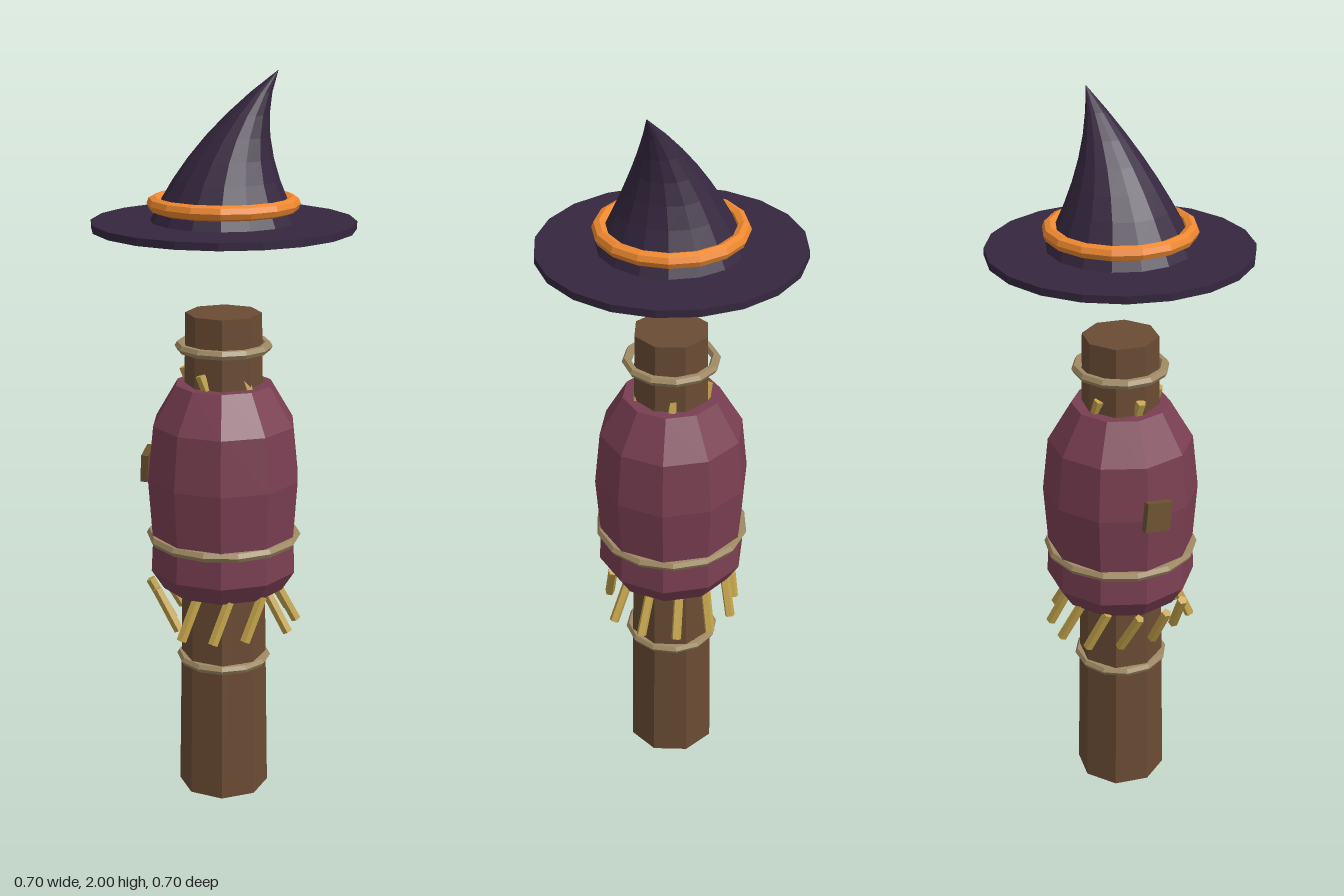
import * as THREE from 'three';

const mat = (color) => new THREE.MeshStandardMaterial({ color, flatShading: true });
const wood = mat(0x6b4c34), cloth = mat(0x7a3f52), rope = mat(0xa08a64);
const straw = mat(0xc2a24a), felt = mat(0x35273f), orange = mat(0xee8830), patchCloth = mat(0x6b5230);

function add(parent, name, geometry, material, x = 0, y = 0, z = 0) {
  const mesh = new THREE.Mesh(geometry, material);
  mesh.name = name;
  mesh.position.set(x, y, z);
  parent.add(mesh);
  return mesh;
}

// Horizontal ring around the y axis
function ring(parent, name, y, radius, tube, segments, material) {
  const geo = new THREE.TorusGeometry(radius, tube, 6, segments).rotateX(Math.PI / 2);
  return add(parent, name, geo, material, 0, y, 0);
}

// Straw stalk centred at a point, its lower end leaning by (dx, dz)
function stalk(parent, name, x, y, z, length, dx, dz) {
  const mesh = add(parent, name, new THREE.CylinderGeometry(0.014, 0.014, length, 5), straw, x, y, z);
  const up = new THREE.Vector3(-dx, length, -dz).normalize();
  mesh.quaternion.setFromUnitVectors(new THREE.Vector3(0, 1, 0), up);
}

export function createModel() {
  const model = new THREE.Group();
  model.name = 'scarecrowPost';

  // Tapered octagonal post
  add(model, 'post', new THREE.CylinderGeometry(0.102, 0.125, 1.37, 8), wood, 0, 0.685, 0);

  // Stuffed sack body with a gathered hem
  const profile = [[0, 0.605], [0.17, 0.605], [0.205, 0.66], [0.2, 0.75], [0.212, 0.92],
    [0.196, 1.07], [0.132, 1.178], [0, 1.178]].map(([r, y]) => new THREE.Vector2(r, y));
  add(model, 'body', new THREE.LatheGeometry(profile, 10), cloth);

  // Sewn patch on the side
  const patch = add(model, 'patch', new THREE.BoxGeometry(0.02, 0.08, 0.075), patchCloth, -0.212, 0.935, -0.045);
  patch.rotation.set(0.15, -0.15, -0.06);

  // Rope ties
  ring(model, 'lowerRope', 0.39, 0.118, 0.013, 12, rope);
  ring(model, 'waistRope', 0.75, 0.198, 0.014, 14, rope);
  ring(model, 'neckRope', 1.28, 0.118, 0.013, 12, rope);

  // Straw skirt under the hem
  const skirt = new THREE.Group();
  skirt.name = 'strawSkirt';
  model.add(skirt);
  for (let i = 0; i < 12; i++) {
    const a = (i / 12) * Math.PI * 2, c = Math.cos(a), s = Math.sin(a);
    const lean = Math.abs(c) > 0.6 ? 0.07 : -0.05 * Math.sign(s);
    stalk(skirt, 'straw', c * 0.172, 0.555, s * 0.172, 0.13, lean, s * 0.045);
  }

  // Short straw tufts at the neck
  for (let i = 0; i < 5; i++) {
    const a = 0.8 + (i / 5) * Math.PI * 2;
    stalk(model, 'neckStraw', Math.cos(a) * 0.094, 1.18, Math.sin(a) * 0.094, 0.08, 0.03, 0);
  }

  // Hat: brim, bent cone and band
  const hat = new THREE.Group();
  hat.name = 'hat';
  model.add(hat);
  add(hat, 'hatBrim', new THREE.CylinderGeometry(0.348, 0.348, 0.02, 20), felt, 0, 1.605, 0);
  const cone = new THREE.ConeGeometry(0.195, 0.39, 16, 7).translate(0, 0.195, 0);
  const p = cone.attributes.position;
  for (let i = 0; i < p.count; i++) {
    const t = Math.max(0, p.getY(i) / 0.39);
    p.setX(i, p.getX(i) + 0.14 * Math.pow(t, 2.4));
  }
  cone.computeVertexNormals();
  add(hat, 'hatCone', cone, felt, 0, 1.61, 0);
  const band = new THREE.TorusGeometry(0.181, 0.02, 8, 16).rotateX(Math.PI / 2);
  add(hat, 'hatBand', band, orange, 0, 1.66, 0);

  return model;
}
